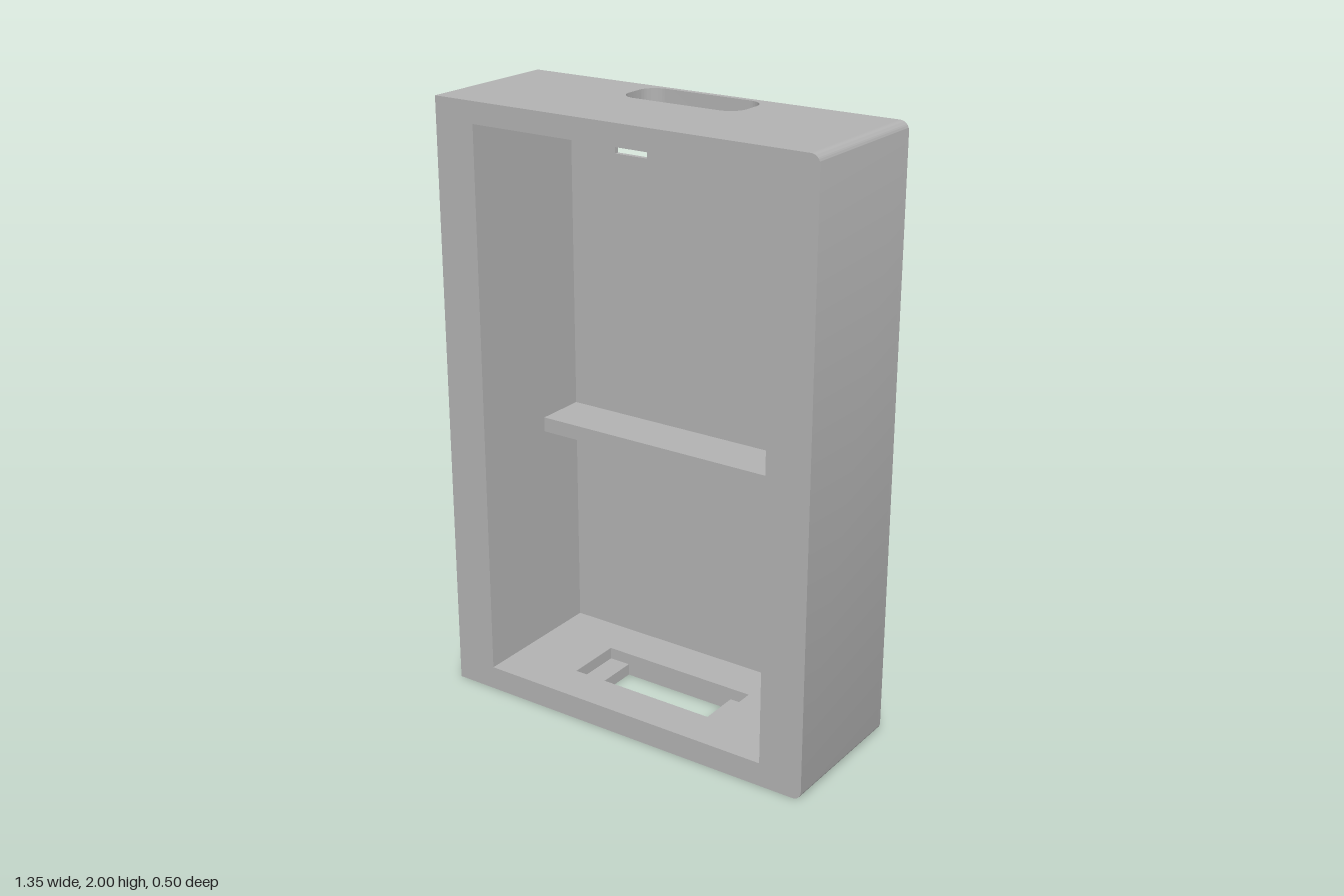
import * as THREE from 'three';
import { toCreasedNormals } from 'three/addons/utils/BufferGeometryUtils.js';

// Outer body and cavity limits
const L = -0.675, R = 0.675, H = 2, BACK = -0.25, FRONT = 0.25;
const inL = -0.53, inR = 0.525, inB = 0.08, inT = 1.93, inZ = -0.233;

// Rectangle with one radius for the left corners and one for the right
function rect(path, x0, y0, x1, y1, rl = 0, rr = 0) {
  path.moveTo(x0 + rl, y0);
  path.lineTo(x1 - rr, y0);
  if (rr) path.absarc(x1 - rr, y0 + rr, rr, -Math.PI / 2, 0);
  path.lineTo(x1, y1 - rr);
  if (rr) path.absarc(x1 - rr, y1 - rr, rr, 0, Math.PI / 2);
  path.lineTo(x0 + rl, y1);
  if (rl) path.absarc(x0 + rl, y1 - rl, rl, Math.PI / 2, Math.PI);
  path.lineTo(x0, y0 + rl);
  if (rl) path.absarc(x0 + rl, y0 + rl, rl, Math.PI, Math.PI * 1.5);
  return path;
}

export function createModel() {
  const group = new THREE.Group();
  group.name = 'cabinet';
  const material = new THREE.MeshStandardMaterial({ color: 0xb2b2b2 });
  material.name = 'plain grey';

  // Panel extruded along an axis between two positions.
  // For axis y the shape is (x, -z); for axis x it is (-z, y).
  function panel(name, axis, from, to, shape, holes = []) {
    shape.holes.push(...holes);
    let geo = new THREE.ExtrudeGeometry(shape, { depth: to - from, bevelEnabled: false, curveSegments: 24 });
    geo.translate(0, 0, from);
    if (axis === 'y') geo.rotateX(-Math.PI / 2);
    if (axis === 'x') geo.rotateY(Math.PI / 2);
    geo = toCreasedNormals(geo, 0.5);
    const mesh = new THREE.Mesh(geo, material);
    mesh.name = name;
    group.add(mesh);
  }
  const shape = (...a) => rect(new THREE.Shape(), ...a);
  const hole = (...a) => rect(new THREE.Path(), ...a);

  // Back with its small window
  panel('backPanel', 'z', BACK, inZ, shape(L, 0, R, H, 0, 0.03), [hole(-0.355, 1.77, -0.23, inT)]);

  // Side wall with rounded outer corners
  panel('leftWall', 'z', inZ, FRONT, shape(inR, 0, R, H, 0, 0.03));

  // Side wall with three blind round holes
  const rounds = [0.265, 0.785, 1.305].map((y) => new THREE.Path().absarc(0.049, y, 0.157, 0, Math.PI * 2));
  panel('rightWallOuter', 'x', L, -0.575, shape(-FRONT, 0, -inZ, H), rounds);
  panel('rightWallInner', 'x', -0.575, inL, shape(-FRONT, 0, -inZ, H));

  // Top with a rounded slot
  panel('topPanel', 'y', inT, H, shape(inL, -FRONT, inR, -inZ), [hole(-0.215, 0.06, 0.21, 0.23, 0.06, 0.06)]);

  // Bottom with a stepped slot, wider on the inside
  panel('bottomOuter', 'y', 0, 0.04, shape(inL, -FRONT, inR, -inZ), [hole(-0.21, -0.11, 0.205, 0.085)]);
  panel('bottomInner', 'y', 0.04, inB, shape(inL, -FRONT, inR, -inZ), [hole(-0.285, -0.11, 0.275, 0.085)]);

  // Shelf against the back
  panel('shelf', 'y', 0.835, 0.885, shape(inL, 0.058, inR, -inZ));

  return group;
}
